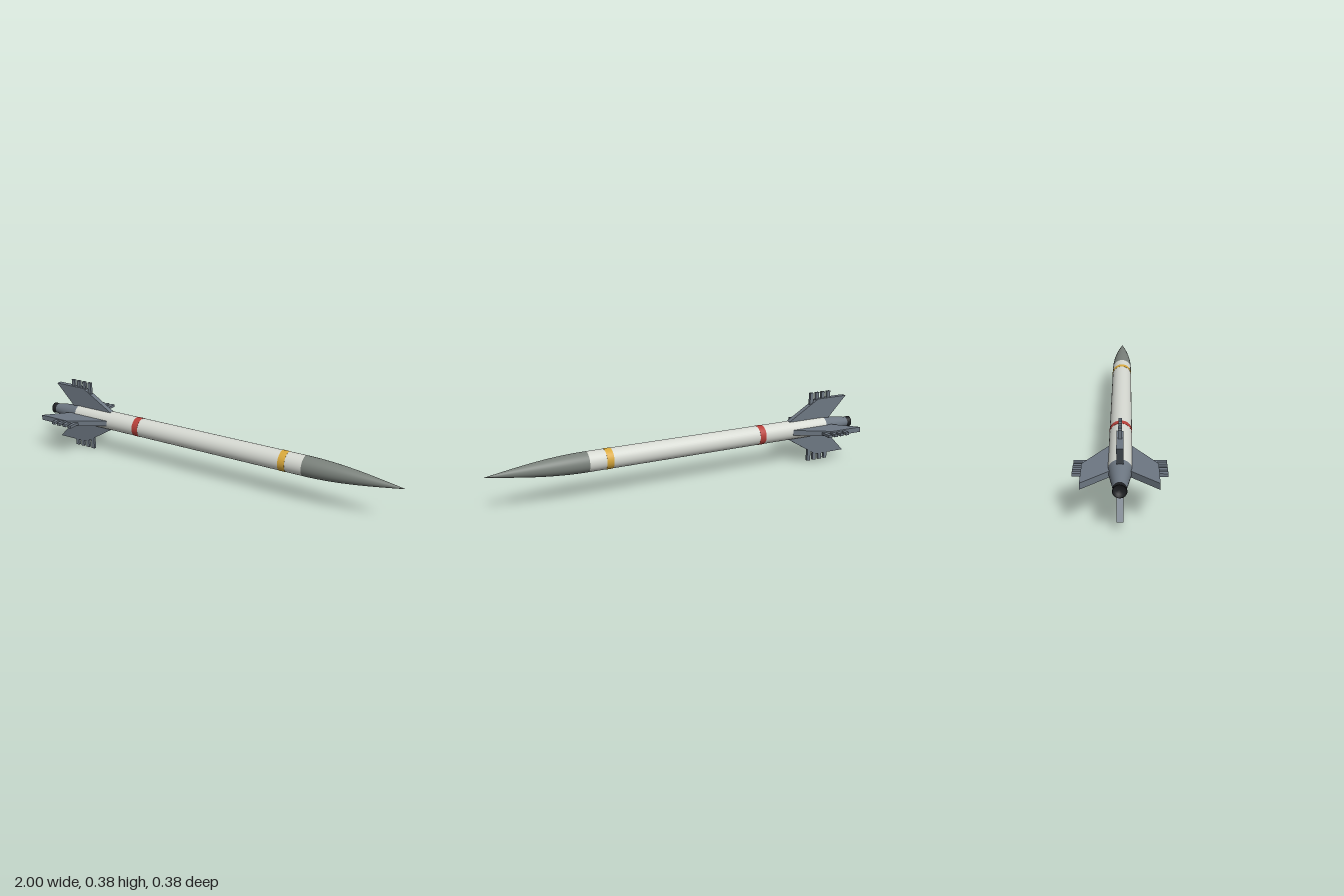
import * as THREE from 'three';

const AXIS_Y = 0.19;
const R = 0.05;

const paint = (color) => new THREE.MeshStandardMaterial({ color, side: THREE.DoubleSide });
const white = paint(0xd6d9d2);
const noseGrey = paint(0x7a817b);
const finGrey = paint(0x6d7782);
const red = paint(0xb8403a);
const yellow = paint(0xd9a93c);
const black = paint(0x1e2023);

// Turns [x, radius] pairs (tail to nose) around the long axis.
function turned(name, pairs, material) {
  const points = pairs.map(([x, r]) => new THREE.Vector2(r, x));
  const geometry = new THREE.LatheGeometry(points, 40);
  geometry.rotateZ(-Math.PI / 2);
  const mesh = new THREE.Mesh(geometry, material);
  mesh.name = name;
  return mesh;
}

// One tail fin standing up from the axis, with its row of pegs.
function makeFin() {
  const fin = new THREE.Group();
  const depth = 0.027;
  const shape = new THREE.Shape([
    new THREE.Vector2(-0.84, 0.03),
    new THREE.Vector2(-0.96, 0.155),
    new THREE.Vector2(-0.78, 0.155),
    new THREE.Vector2(-0.605, 0.05),
    new THREE.Vector2(-0.605, 0.03),
  ]);
  const geometry = new THREE.ExtrudeGeometry(shape, { depth, bevelEnabled: false });
  geometry.translate(0, 0, -depth / 2);
  const blade = new THREE.Mesh(geometry, finGrey);
  blade.name = 'finBlade';
  fin.add(blade);

  for (let i = 0; i < 4; i++) {
    const peg = new THREE.Mesh(new THREE.BoxGeometry(0.02, 0.07, 0.014), finGrey);
    peg.name = 'finPeg';
    peg.position.set(-0.851 + i * 0.036, 0.155, 0);
    fin.add(peg);
  }
  return fin;
}

export function createModel() {
  const model = new THREE.Group();
  model.name = 'rocket';
  const rocket = new THREE.Group();
  rocket.name = 'airframe';
  rocket.position.y = AXIS_Y;
  model.add(rocket);

  // Body tube and coloured bands
  rocket.add(turned('bodyTube', [[-0.82, R], [0.52, R]], white));
  rocket.add(turned('redBand', [[-0.44, R], [-0.44, R + 0.001], [-0.405, R + 0.001], [-0.405, R]], red));
  rocket.add(turned('yellowBand', [[0.4, R], [0.4, R + 0.001], [0.435, R + 0.001], [0.435, R]], yellow));

  // Curved nose cone
  const nose = [];
  for (let i = 0; i <= 20; i++) {
    const t = 1 - i / 20;
    nose.push([1 - 0.48 * t, R * Math.sin((t * Math.PI) / 2)]);
  }
  rocket.add(turned('noseCone', nose, noseGrey));

  // Tapered tail and nozzle
  rocket.add(turned('tailCone', [[-0.98, 0.026], [-0.82, R]], finGrey));
  rocket.add(turned('nozzle', [[-0.985, 0], [-0.985, 0.02], [-1, 0.026], [-1, 0.029], [-0.975, 0.027]], black));

  // Four fins around the tail
  for (let i = 0; i < 4; i++) {
    const fin = makeFin();
    fin.name = 'tailFin';
    fin.rotation.x = (i * Math.PI) / 2;
    rocket.add(fin);
  }
  return model;
}
